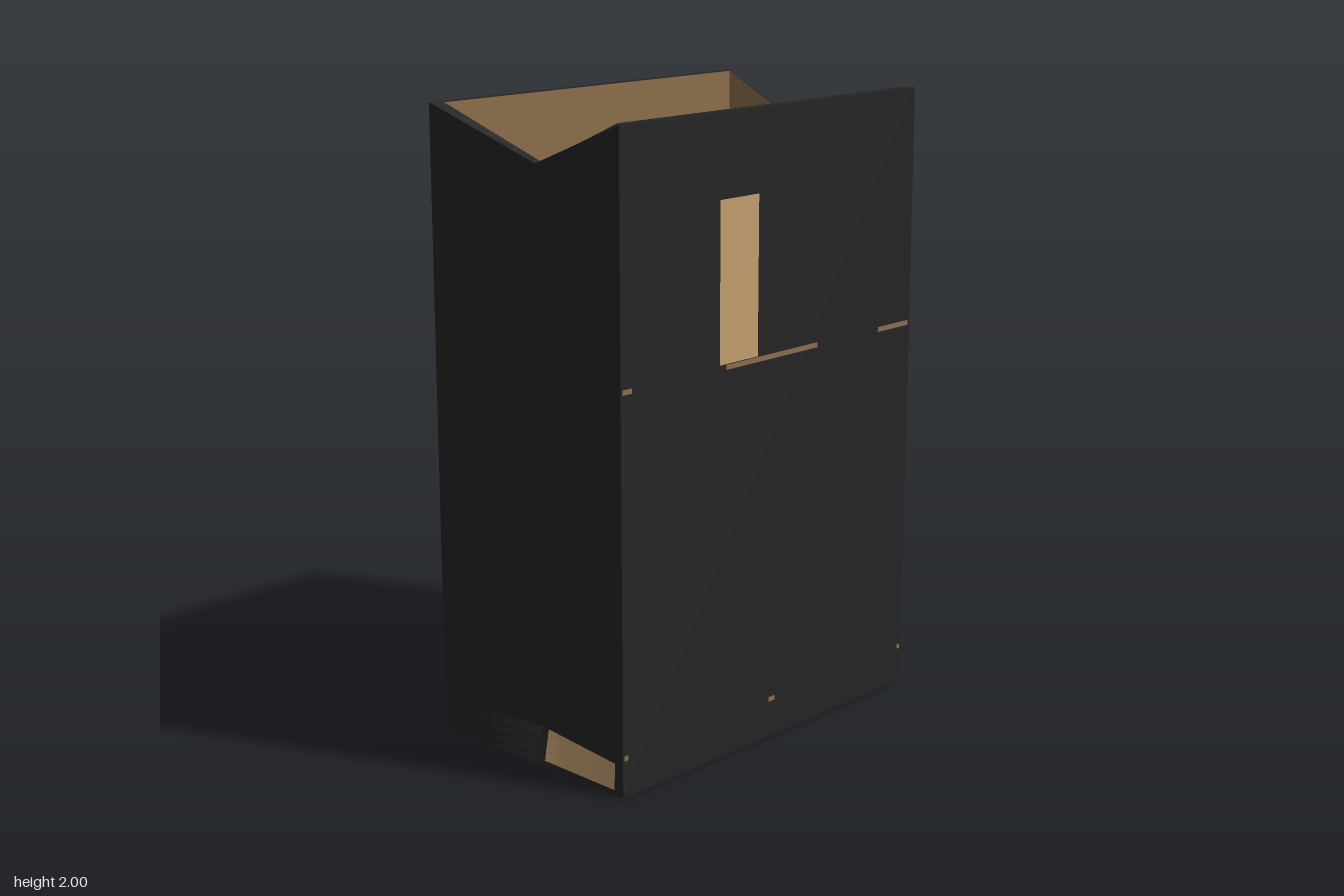
import * as THREE from 'three';

const W = 0.665, D = 0.4, H = 2;      // half width, half depth, height
const FOLD = 0.055, NOTCH = 0.15;     // gusset depth and drop of its top edge
const FLARE = 0.1;                    // height where the gusset fold is complete
const WX = 0.03, WZ = 0.035;          // paper thickness

const mat = (name, color) => {
  const m = new THREE.MeshStandardMaterial({ color, side: THREE.DoubleSide });
  m.name = name;
  return m;
};

// Gusset surface: t runs from +1 (front corner) to -1 (back corner)
const gussetX = (t, y) => W - FOLD * Math.min(1, y / FLARE) * (1 - Math.abs(t));
const gussetTop = (t) => H - NOTCH * (1 - Math.abs(t));

// Grid of flat faces from a rule f(u, v) -> [x, y, z]; front is u right, v up
function sheet(name, material, us, vs, f) {
  const pos = [];
  for (let i = 0; i < us.length - 1; i++) {
    for (let j = 0; j < vs.length - 1; j++) {
      const a = f(us[i], vs[j]), b = f(us[i + 1], vs[j]);
      const c = f(us[i + 1], vs[j + 1]), d = f(us[i], vs[j + 1]);
      pos.push(...a, ...b, ...c, ...a, ...c, ...d);
    }
  }
  const g = new THREE.BufferGeometry();
  g.setAttribute('position', new THREE.Float32BufferAttribute(pos, 3));
  g.computeVertexNormals();
  const m = new THREE.Mesh(g, material);
  m.name = name;
  return m;
}

const span = (a, b, n) => Array.from({ length: n + 1 }, (_, i) => a + ((b - a) * i) / n);

export function createModel() {
  const bag = new THREE.Group();
  bag.name = 'paperBag';
  const black = mat('blackPaper', 0x252525);
  const kraft = mat('kraftPaper', 0xc39f70);
  const lining = mat('darkKraftLining', 0x8e704c);

  const ends = [0, 1];
  const ts = span(1, -1, 8);
  const rows = [0, 0.025, 0.05, 0.075, FLARE, H];

  // Each half is one broad panel and one gusset; the other half is turned 180 degrees
  const makeHalf = (name) => {
    const half = new THREE.Group();
    half.name = name;
    half.add(
      sheet('broadPanel', black, [-W, W], [0, H], (x, y) => [x, y, D]),
      sheet('broadLining', lining, [W - WX, WX - W], [0.03, H], (x, y) => [x, y, D - WZ]),
      sheet('broadRim', black, [-1, 1], ends, (s, v) => [s * (W - WX * v), H, D - WZ * v]),
      sheet('gusset', black, ts, rows, (t, v) => {
        const y = v === H ? gussetTop(t) : v;
        return [gussetX(t, y), y, t * D];
      }),
      sheet('gussetLining', lining, [...ts].reverse(), rows.slice(1), (t, v) => {
        const y = v === H ? gussetTop(t) : v;
        return [gussetX(t, y) - WX, y, t * (D - WZ)];
      }),
      sheet('gussetRim', black, ts, ends, (t, v) =>
        [gussetX(t, H) - WX * v, gussetTop(t), t * (D - WZ * v)]),
      // Bare patch on the flared foot of the gusset
      sheet('footPatch', kraft, span(0, 1, 6), span(0, 1, 4), (u, v) => {
        const y = 0.017 + v * 0.083;
        const z = THREE.MathUtils.lerp(-0.057 + 0.027 * v, -0.365, u);
        return [gussetX(z / D, y) + 0.003, y, z];
      }),
    );
    bag.add(half);
    return half;
  };
  makeHalf('frontHalf');
  makeHalf('backHalf').rotation.y = Math.PI;

  // Underside and inner floor
  bag.add(
    sheet('base', black, [-W, W], [-D, D], (x, z) => [x, 0, z]),
    sheet('innerFloor', lining, [WX - W, W - WX], [D - WZ, WZ - D], (x, z) => [x, 0.03, z]),
  );

  // Painted plates: [x0, x1, y0, y1]
  const plate = (name, material, side, [x0, x1, y0, y1]) => {
    const m = new THREE.Mesh(new THREE.PlaneGeometry(x1 - x0, y1 - y0), material);
    m.name = name;
    m.position.set((x0 + x1) / 2, (y0 + y1) / 2, side * (D + 0.002));
    if (side < 0) m.rotation.y = Math.PI;
    bag.add(m);
  };
  plate('frontLabel', kraft, 1, [-0.25, -0.08, 1.25, 1.745]);
  plate('backLabel', kraft, -1, [0.125, 0.205, 0.43, 0.65]);

  // Broken stripes around the bag
  const stripes = [
    [1, 1.24, [[-0.66, -0.62], [-0.22, 0.2], [0.5, 0.655]]],
    [1, 0.125, [[-0.66, -0.645], [-0.015, 0.015], [0.64, 0.655]]],
    [-1, 1.24, [[0.22, 0.66], [-0.65, -0.13]]],
    [-1, 0.125, [[0.57, 0.66], [-0.1, 0.25], [-0.66, -0.645]]],
  ];
  for (const [side, y, parts] of stripes) {
    for (const [x0, x1] of parts) plate('stripe', lining, side, [x0, x1, y - 0.008, y + 0.008]);
  }
  return bag;
}
